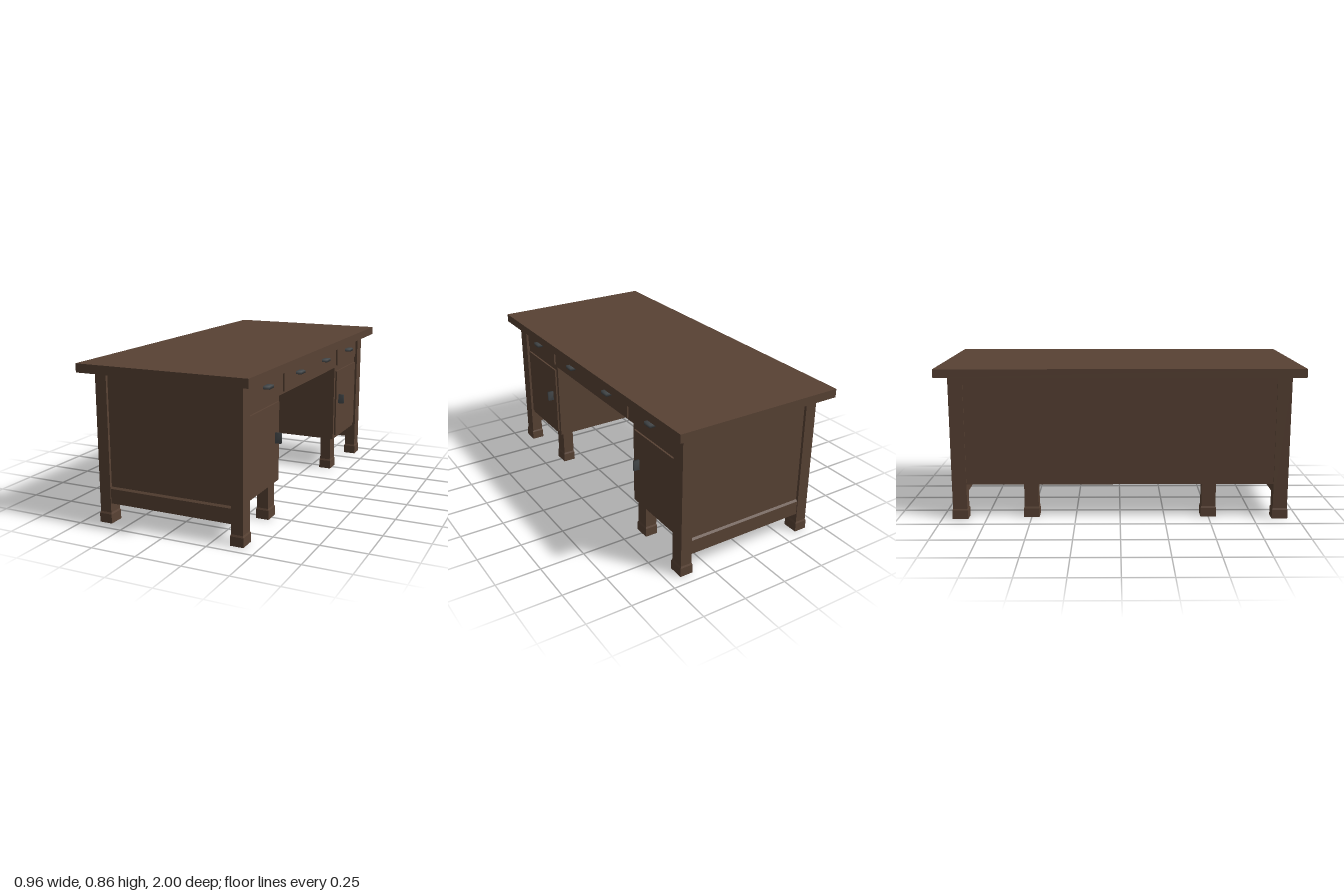
import * as THREE from 'three';
import { mergeVertices } from 'three/addons/utils/BufferGeometryUtils.js';

const wood = new THREE.MeshStandardMaterial({ color: 0x584234 });
const metal = new THREE.MeshStandardMaterial({ color: 0x44484a });

export function createModel() {
  const desk = new THREE.Group();
  desk.name = 'desk';

  // Box given by its limits on each axis
  function box(name, [x0, x1], [y0, y1], [z0, z1], parent = desk) {
    const mesh = new THREE.Mesh(new THREE.BoxGeometry(x1 - x0, y1 - y0, z1 - z0), wood);
    mesh.position.set((x0 + x1) / 2, (y0 + y1) / 2, (z0 + z1) / 2);
    mesh.name = name;
    parent.add(mesh);
    return mesh;
  }

  // Square leg with a slightly wider foot that tapers into the post
  function leg(name, x, z, top) {
    const group = new THREE.Group();
    group.name = name;
    const w = 0.065, d = 0.08, flare = 0.004;
    box('post', [-w / 2, w / 2], [0.05, top], [-d / 2, d / 2], group);
    const foot = box('foot', [-w / 2 - flare, w / 2 + flare], [0, 0.058], [-d / 2 - flare, d / 2 + flare], group);
    foot.scale.y = 0.05 / 0.058;
    foot.position.y = 0.025;
    const collar = box('footTaper', [-w / 2, w / 2], [0.05, 0.06], [-d / 2, d / 2], group);
    const p = collar.geometry.attributes.position;
    for (let i = 0; i < p.count; i++) {
      if (p.getY(i) < 0) {
        p.setX(i, p.getX(i) + Math.sign(p.getX(i)) * flare);
        p.setZ(i, p.getZ(i) + Math.sign(p.getZ(i)) * flare);
      }
    }
    collar.geometry.computeVertexNormals();
    group.position.set(x, 0, z);
    desk.add(group);
  }

  // Softly shaded pull on the drawer side
  function handle(name, y, z, height, width) {
    const block = new THREE.BoxGeometry(0.037, height, width);
    block.deleteAttribute('normal');
    block.deleteAttribute('uv');
    const geometry = mergeVertices(block);
    geometry.computeVertexNormals();
    const mesh = new THREE.Mesh(geometry, metal);
    mesh.position.set(0.4265, y, z);
    mesh.name = name;
    desk.add(mesh);
  }

  box('tabletop', [-0.48, 0.48], [0.81, 0.857], [-1, 1]);

  for (const s of [-1, 1]) {
    const span = (a, b) => (s > 0 ? [a, b] : [-b, -a]);

    // Cupboard pedestal with its end panel
    box('pedestal', [-0.395, 0.402], [0.2, 0.81], span(0.449, 0.922));

    // Low end rail with a sloped upper edge
    const rail = [[0.88, 0.11], [0.932, 0.11], [0.932, 0.19], [0.922, 0.2], [0.88, 0.2]];
    const shape = new THREE.Shape(rail.map(([z, y]) => new THREE.Vector2(-s * z, y)));
    const railMesh = new THREE.Mesh(
      new THREE.ExtrudeGeometry(shape, { depth: 0.702, bevelEnabled: false }), wood);
    railMesh.rotation.y = Math.PI / 2;
    railMesh.position.x = -0.345;
    railMesh.name = 'endRail';
    desk.add(railMesh);

    // Raised drawer and door fronts
    box('sideDrawer', [0.39, 0.412], [0.675, 0.81], span(0.472, 0.845));
    box('door', [0.39, 0.412], [0.222, 0.637], span(0.47, 0.845));

    // Corner posts and the inner legs under the pedestal
    leg('cornerLeg', -0.3775, s * 0.897, 0.81);
    leg('cornerLeg', 0.3885, s * 0.897, 0.81);
    leg('innerLeg', -0.337, s * 0.5, 0.2);
    leg('innerLeg', 0.35, s * 0.5, 0.2);

    handle('sideDrawerHandle', 0.75, s * 0.652, 0.016, 0.058);
    handle('middleDrawerHandle', 0.75, s * 0.21, 0.016, 0.058);
    handle('doorHandle', 0.452, s * 0.518, 0.056, 0.015);
  }

  // Middle drawer section over the kneehole
  box('drawerCase', [-0.395, 0.402], [0.662, 0.81], [-0.449, 0.449]);
  box('middleDrawer', [0.39, 0.412], [0.675, 0.81], [-0.4, 0.4]);

  // Full-length back panel
  box('backPanel', [-0.405, -0.385], [0.2, 0.81], [-0.87, 0.87]);

  return desk;
}
